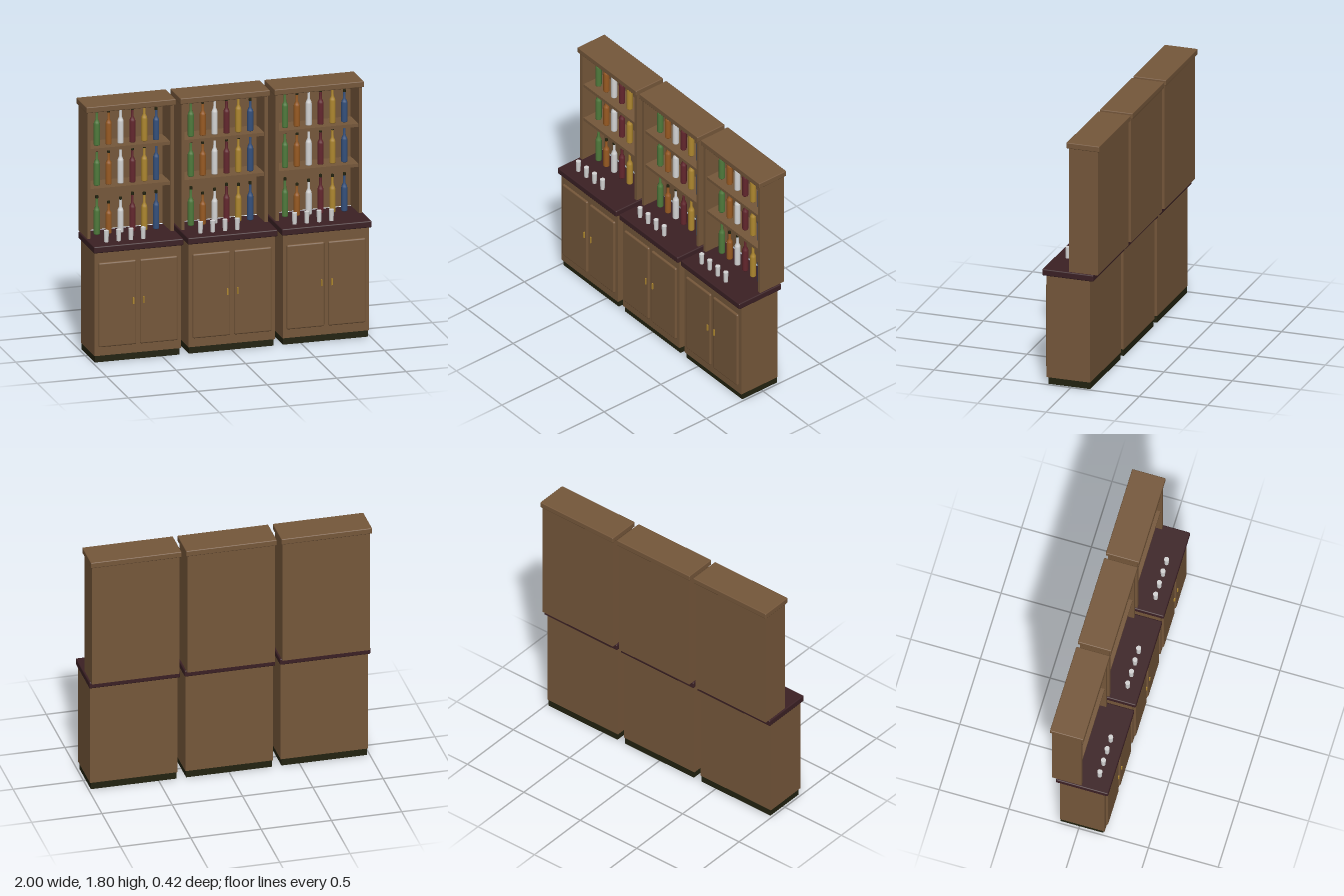
import * as THREE from 'three';
import { RoundedBoxGeometry } from 'three/addons/geometries/RoundedBoxGeometry.js';

const mat = (name, color) => {
  const m = new THREE.MeshStandardMaterial({ color });
  m.name = name;
  return m;
};

export function createModel() {
  const wood = mat('wood', 0x75573a);
  const counterWood = mat('dark counter wood', 0x3b2024);
  const dark = mat('dark base', 0x22220f);
  const gold = mat('gold', 0xae872f);
  const clear = mat('clear glass', 0xd4d4d4);
  const glass = [
    mat('green glass', 0x4f7a3c), mat('amber glass', 0x985a22), clear,
    mat('burgundy glass', 0x63262d), gold, mat('blue glass', 0x34507c),
  ];

  const add = (parent, name, geometry, material, x, y, z) => {
    const mesh = new THREE.Mesh(geometry, material);
    mesh.name = name;
    mesh.position.set(x, y, z);
    parent.add(mesh);
    return mesh;
  };
  // Box given by centre x, width and its y and z ranges; r rounds the edges
  const box = (parent, name, material, x, w, y0, y1, z0, z1, r = 0) => {
    const h = y1 - y0, d = z1 - z0;
    const g = r ? new RoundedBoxGeometry(w, h, d, 2, r) : new THREE.BoxGeometry(w, h, d);
    return add(parent, name, g, material, x, (y0 + y1) / 2, (z0 + z1) / 2);
  };

  // Bottle profile: radius, fraction of height
  const profile = [[0, 0], [0.02, 0], [0.022, 0.02], [0.022, 0.6], [0.019, 0.65],
    [0.0095, 0.73], [0.009, 0.95]];
  const bottle = (parent, material, h, x, y, z) => {
    const g = new THREE.Group();
    g.name = 'bottle';
    g.position.set(x, y, z);
    const points = profile.map(([r, t]) => new THREE.Vector2(r, t * h));
    add(g, 'bottleBody', new THREE.LatheGeometry(points, 12), material, 0, 0, 0);
    add(g, 'bottleCap', new THREE.CylinderGeometry(0.0105, 0.0105, h * 0.07, 10), dark, 0, h * 0.965, 0);
    parent.add(g);
  };

  // Bottle rows: height of the surface and of each bottle
  const rows = [
    [0.846, [0.279, 0.231, 0.252, 0.279, 0.271, 0.276]],
    [1.2, [0.259, 0.243, 0.266, 0.247, 0.255, 0.267]],
    [1.489, [0.256, 0.245, 0.26, 0.25, 0.267, 0.231]],
  ];

  const buildUnit = () => {
    const unit = new THREE.Group();
    unit.name = 'cabinetUnit';

    // Lower cabinet
    box(unit, 'plinth', dark, 0, 0.61, 0, 0.05, -0.136, 0.17);
    box(unit, 'lowerCabinet', wood, 0, 0.622, 0.05, 0.8, -0.138, 0.183);
    box(unit, 'countertop', counterWood, 0, 0.645, 0.798, 0.846, -0.164, 0.209, 0.008);
    for (const s of [-1, 1]) {
      box(unit, 'door', wood, s * 0.149, 0.27, 0.113, 0.722, 0.168, 0.198, 0.011);
      box(unit, 'doorHandle', gold, s * 0.037, 0.009, 0.408, 0.456, 0.19, 0.207);
    }

    // Upper shelving
    for (const s of [-1, 1]) {
      box(unit, 'sidePanel', wood, s * 0.2995, 0.023, 0.846, 1.76, -0.193, 0.017);
    }
    box(unit, 'backPanel', wood, 0, 0.576, 0.846, 1.76, -0.193, -0.173);
    for (const y of [1.2, 1.489]) {
      box(unit, 'shelf', wood, 0, 0.576, y - 0.023, y, -0.173, 0.005);
    }
    box(unit, 'cornice', wood, 0, 0.645, 1.757, 1.8, -0.207, 0.033, 0.006);

    // Bottles
    for (const [y, heights] of rows) {
      heights.forEach((h, i) => bottle(unit, glass[i], h, -0.217 + i * 0.0855, y, -0.07));
    }

    // Drinking glasses
    for (let i = 0; i < 4; i++) {
      add(unit, 'drinkingGlass', new THREE.CylinderGeometry(0.018, 0.015, 0.082, 10),
        clear, -0.206 + i * 0.0885, 0.887, 0.117);
    }
    return unit;
  };

  const model = new THREE.Group();
  model.name = 'barCabinets';
  for (const i of [-1, 0, 1]) {
    const unit = buildUnit();
    unit.position.x = i * 0.6775;
    model.add(unit);
  }
  return model;
}
